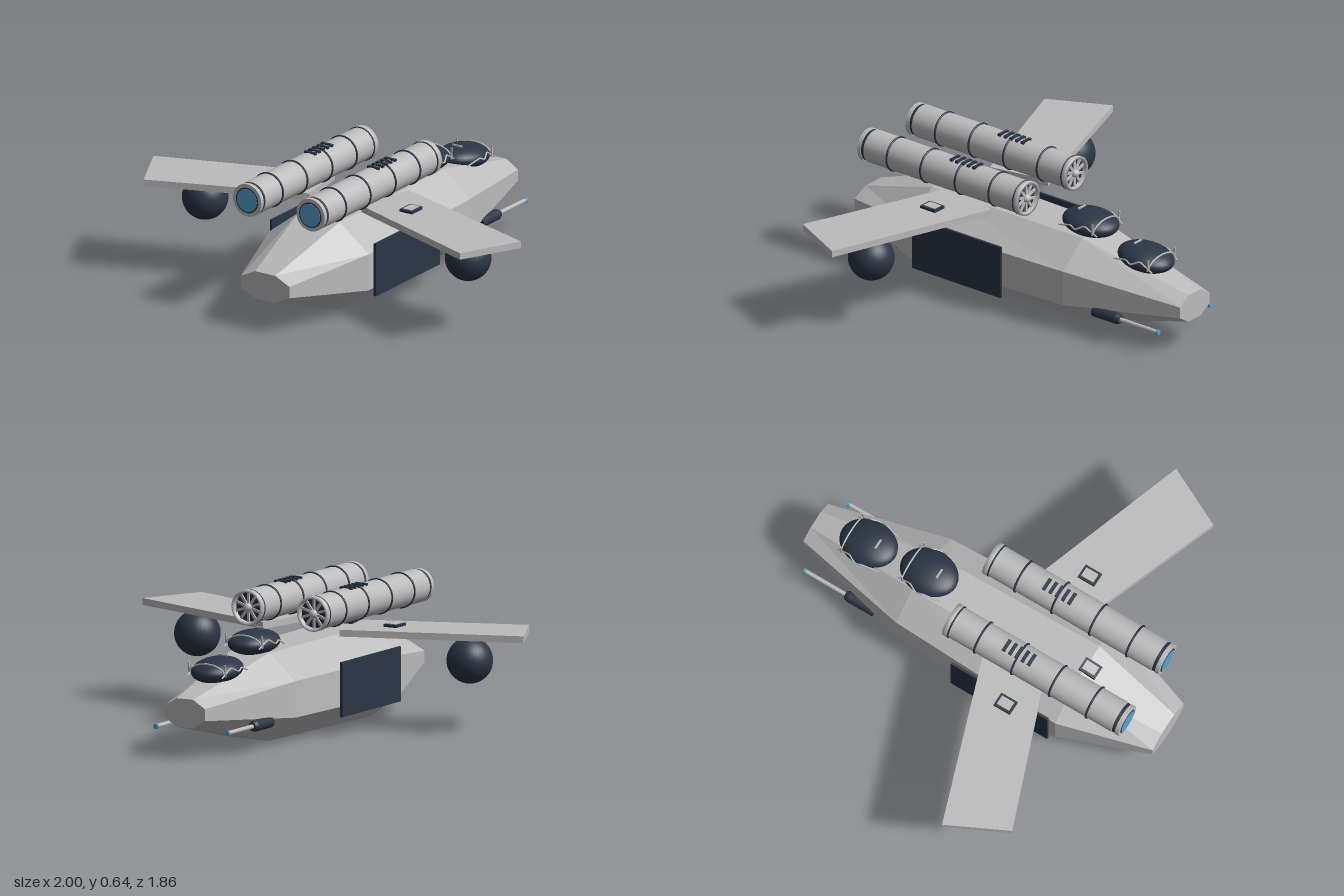
import * as THREE from 'three';

const mat = (name, color, extra = {}) => {
  const m = new THREE.MeshStandardMaterial({ color, ...extra });
  m.name = name;
  return m;
};

export function createModel() {
  const root = new THREE.Group();
  root.name = 'gunship';
  const hull = mat('hullGrey', 0xbcbcbc);
  const dark = mat('darkSlate', 0x2b3545);
  const blue = mat('exhaustBlue', 0x55a5d0);

  const add = (parent, name, geo, material, x = 0, y = 0, z = 0) => {
    const m = new THREE.Mesh(geo, material);
    m.name = name;
    m.position.set(x, y, z);
    parent.add(m);
    return m;
  };
  const group = (name, x, y, z) => {
    const g = new THREE.Group();
    g.name = name;
    g.position.set(x, y, z);
    root.add(g);
    return g;
  };
  const box = (w, h, d) => new THREE.BoxGeometry(w, h, d);
  const tubeZ = (r1, r2, len, n = 32) => new THREE.CylinderGeometry(r1, r2, len, n).rotateX(Math.PI / 2);
  const V = (x, y, z) => new THREE.Vector3(x, y, z);
  const rod = (pts, r) => {
    const path = new THREE.CurvePath();
    for (let i = 1; i < pts.length; i++) path.add(new THREE.LineCurve3(pts[i - 1], pts[i]));
    return new THREE.TubeGeometry(path, (pts.length - 1) * 6, r, 6);
  };

  // Fuselage: octagonal sections [z, centre y, half width, half height] joined by flat faces
  const sections = [[-0.93, 0.21, 0.105, 0.065], [-0.36, 0.211, 0.235, 0.2],
    [0.5, 0.208, 0.27, 0.208], [0.93, 0.212, 0.132, 0.065]];
  const point = (i, k) => {
    const [z, cy, w, h] = sections[i];
    const a = (k - 0.5) * Math.PI / 4, r = 1 / Math.cos(Math.PI / 8);
    return [r * w * Math.cos(a), cy + r * h * Math.sin(a), z];
  };
  const verts = [];
  const last = sections.length - 1;
  for (let k = 0; k < 8; k++) {
    for (let i = 0; i < last; i++) {
      const a = point(i, k), b = point(i, k + 1), c = point(i + 1, k + 1), d = point(i + 1, k);
      verts.push(...a, ...b, ...c, ...a, ...c, ...d);
    }
    verts.push(0, sections[0][1], sections[0][0], ...point(0, k + 1), ...point(0, k));
    verts.push(0, sections[last][1], sections[last][0], ...point(last, k), ...point(last, k + 1));
  }
  const body = new THREE.BufferGeometry();
  body.setAttribute('position', new THREE.Float32BufferAttribute(verts, 3));
  body.computeVertexNormals();
  add(root, 'fuselage', body, hull);

  // Small framed hatch
  const hatch = (name, x, y, z) => {
    const g = group(name, x, y, z);
    add(g, 'hatchFrame', box(0.068, 0.016, 0.086), dark);
    add(g, 'hatchPlate', box(0.046, 0.006, 0.064), hull, 0, 0.008, 0);
    return g;
  };
  hatch('spineHatch', 0, 0.416, 0.52).rotation.x = 0.15;

  // Canopies with bent frame rods
  const onDome = (y, z, off) =>
    Math.max(0.09, 0.11 * Math.sqrt(Math.max(0, 1 - (y / 0.055) ** 2 - (z / 0.14) ** 2)) + off);
  for (const [name, y, z, tilt] of [['frontCanopy', 0.37, -0.65, -0.1], ['rearCanopy', 0.45, -0.33, -0.05]]) {
    const g = group(name, 0, y, z);
    g.rotation.x = tilt;
    add(g, 'canopyGlass', new THREE.SphereGeometry(1, 32, 20).scale(0.11, 0.055, 0.14), dark);
    for (const s of [1, -1]) {
      const zig = [[-0.02, 0.11], [0.012, 0.03], [0, 0], [0.025, -0.04], [-0.01, -0.11]];
      add(g, 'canopySideRod', rod(zig.map(([py, pz]) => V(s * onDome(py, pz, 0.005), py, pz)), 0.004), hull);
      add(g, 'canopyPost', box(0.007, 0.055, 0.007), hull, s * 0.095, 0.02, -0.085);
    }
    // Hoop across the leading part of the dome
    const hoop = [];
    for (let i = 0; i <= 8; i++) {
      const a = Math.PI * i / 8;
      hoop.push(V(0.092 * Math.cos(a), 0.046 * Math.sin(a), -0.088));
    }
    add(g, 'canopyHoop', rod(hoop, 0.004), hull);
    add(g, 'canopyTopBar', box(0.05, 0.008, 0.008), hull, 0, 0.053, 0.055);
  }

  for (const s of [1, -1]) {
    const side = s > 0 ? 'left' : 'right';

    // Swept wing slab with hatch and ball pod
    const shape = new THREE.Shape([[0.2, 0.08], [1, 0.355], [0.86, 0.638], [0.142, 0.37]]
      .map(([x, z]) => new THREE.Vector2(s * x, z)));
    const wing = new THREE.ExtrudeGeometry(shape, { depth: 0.031, bevelEnabled: false }).rotateX(Math.PI / 2);
    add(root, side + 'Wing', wing, hull, 0, 0.462, 0);
    hatch(side + 'WingHatch', s * 0.36, 0.466, 0.295);
    add(root, side + 'BallPod', new THREE.SphereGeometry(0.105, 32, 24), dark, s * 0.715, 0.328, 0.36);

    // Side armour door
    add(root, side + 'SidePlate', box(0.012, 0.25, 0.51), dark, s * 0.282, 0.213, 0.215);

    // Nose gun
    const gun = group(side + 'Gun', s * 0.187, 0.126, 0);
    add(gun, 'gunPod', tubeZ(0.026, 0.026, 0.135, 16), dark, 0, 0, -0.57);
    add(gun, 'gunPodNose', tubeZ(0.026, 0.019, 0.018, 16), dark, 0, 0, -0.6465);
    add(gun, 'gunBarrel', tubeZ(0.01, 0.01, 0.22, 12), hull, 0, 0, -0.755);
    add(gun, 'gunTip', tubeZ(0.012, 0.012, 0.012, 12), blue, 0, 0, -0.87);

    // Engine nacelle
    const e = group(side + 'Engine', s * 0.172, 0.558, 0);
    add(e, 'engineBody', tubeZ(0.077, 0.077, 0.85), hull, 0, 0, 0.36);
    for (const z of [0.06, 0.255, 0.455, 0.65])
      add(e, 'engineBand', new THREE.TorusGeometry(0.078, 0.005, 8, 40), dark, 0, 0, z);
    for (let i = 0; i < 5; i++)
      add(e, 'engineVent', box(0.06, 0.014, 0.016), dark, 0, 0.075, 0.185 + i * 0.033);

    // Intake: open lip, fan blades and hub
    const lip = new THREE.LatheGeometry([[0.077, 0.06], [0.077, 0.082], [0.081, 0.088], [0.081, 0.108],
      [0.068, 0.108], [0.066, 0.06]].map(([r, h]) => new THREE.Vector2(r, h)), 32).rotateX(-Math.PI / 2);
    add(e, 'intakeLip', lip, mat0(hull));
    add(e, 'intakeBand', new THREE.TorusGeometry(0.077, 0.004, 8, 40), dark, 0, 0, -0.08);
    add(e, 'intakeBack', tubeZ(0.067, 0.067, 0.02), dark, 0, 0, -0.078);
    for (let i = 0; i < 10; i++) {
      const blade = add(e, 'fanBlade', box(0.012, 0.05, 0.008).translate(0, 0.042, 0), hull, 0, 0, -0.094);
      blade.rotation.z = i * Math.PI / 5;
    }
    add(e, 'fanHub', new THREE.SphereGeometry(0.02, 16, 12), hull, 0, 0, -0.098);

    // Exhaust
    add(e, 'exhaustBand', tubeZ(0.074, 0.074, 0.02), dark, 0, 0, 0.793);
    add(e, 'exhaustRim', tubeZ(0.077, 0.077, 0.02), hull, 0, 0, 0.811);
    add(e, 'exhaustThroat', tubeZ(0.06, 0.06, 0.004), dark, 0, 0, 0.821);
    add(e, 'exhaustGlow', tubeZ(0.054, 0.054, 0.004), blue, 0, 0, 0.823);
  }
  return root;
}

// Double-sided twin of a colour, for open shells (one per colour)
const twins = new Map();
function mat0(m) {
  if (!twins.has(m.name)) twins.set(m.name, mat(m.name, m.color.getHex(), { side: THREE.DoubleSide }));
  return twins.get(m.name);
}
